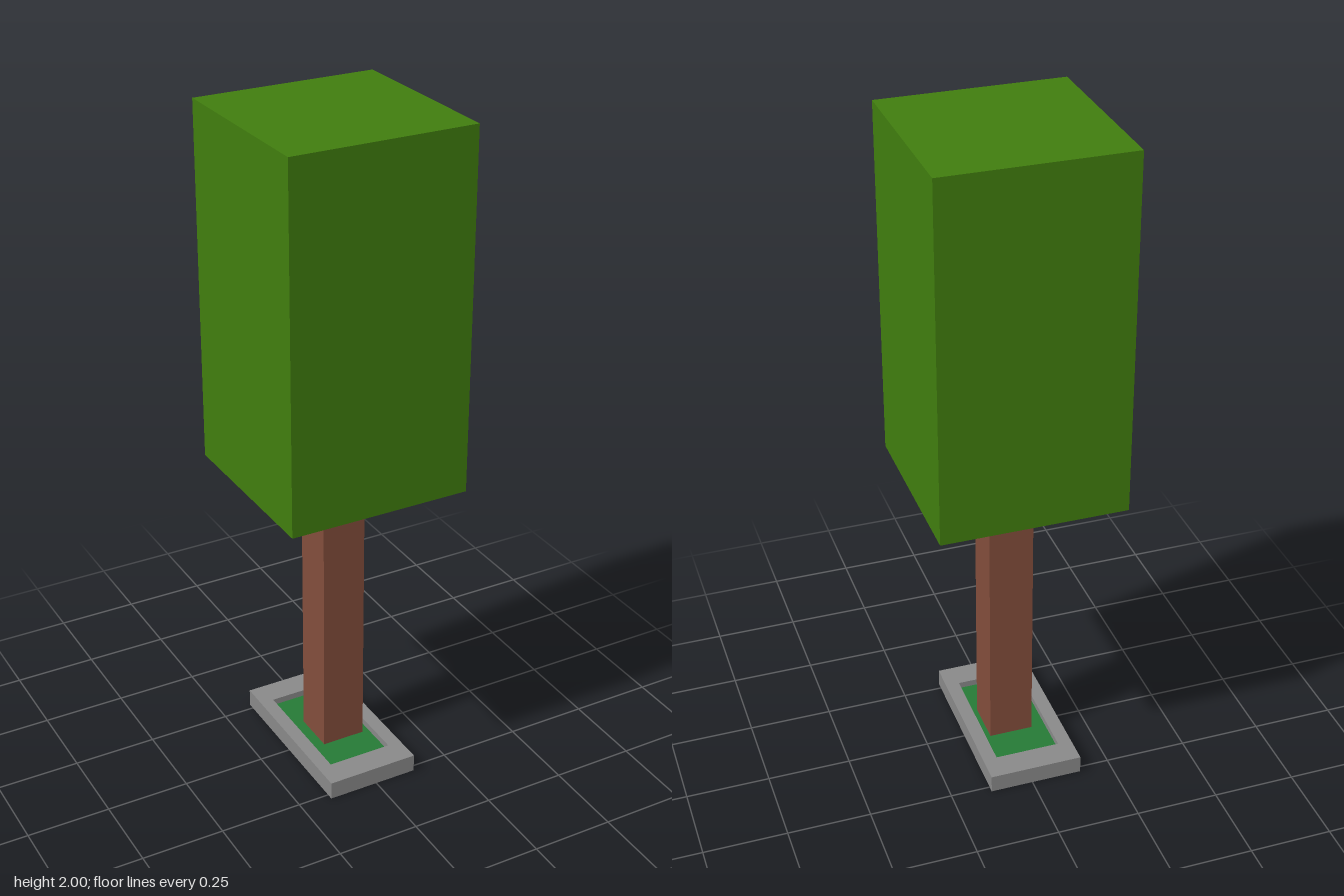
import * as THREE from 'three';

// Box given by its min and max corners
function block(name, color, min, max) {
  const size = max.map((v, i) => v - min[i]);
  const mesh = new THREE.Mesh(
    new THREE.BoxGeometry(...size),
    new THREE.MeshStandardMaterial({ color, flatShading: true })
  );
  mesh.position.set(...max.map((v, i) => (v + min[i]) / 2));
  mesh.name = name;
  return mesh;
}

// Clockwise or counter-clockwise rectangle outline
function rectangle(PathType, cx, w, d) {
  const x = w / 2, y = d / 2;
  return new PathType([[-x, -y], [x, -y], [x, y], [-x, y]].map(([a, b]) => new THREE.Vector2(cx + a, b)));
}

export function createModel() {
  const tree = new THREE.Group();
  tree.name = 'streetTree';

  // Stone planter frame with a rectangular opening
  const cx = -0.012, width = 0.283, depth = 0.54, height = 0.055;
  const holeW = width * 0.7, holeD = depth * 0.7, soilY = 0.035;
  const outline = rectangle(THREE.Shape, cx, width, depth);
  outline.holes.push(rectangle(THREE.Path, cx, holeW, holeD));
  const frameGeometry = new THREE.ExtrudeGeometry(outline, { depth: height, bevelEnabled: false });
  frameGeometry.rotateX(-Math.PI / 2);
  const stone = 0x888888;
  const frame = new THREE.Mesh(frameGeometry, new THREE.MeshStandardMaterial({ color: stone, flatShading: true }));
  frame.name = 'planterFrame';
  tree.add(frame);

  // Planter floor and the sunken grass on it
  const x0 = cx - holeW / 2, x1 = cx + holeW / 2, z = holeD / 2;
  tree.add(block('planterFloor', stone, [x0, 0, -z], [x1, 0.015, z]));
  tree.add(block('grass', 0x267a36, [x0, 0.015, -z], [x1, soilY, z]));

  // Square trunk and block canopy
  tree.add(block('trunk', 0x824d3b, [-0.068, soilY, -0.066], [0.066, 0.93, 0.068]));
  tree.add(block('canopy', 0x407d0e, [-0.276, 0.927, -0.276], [0.276, 2, 0.276]));

  return tree;
}
